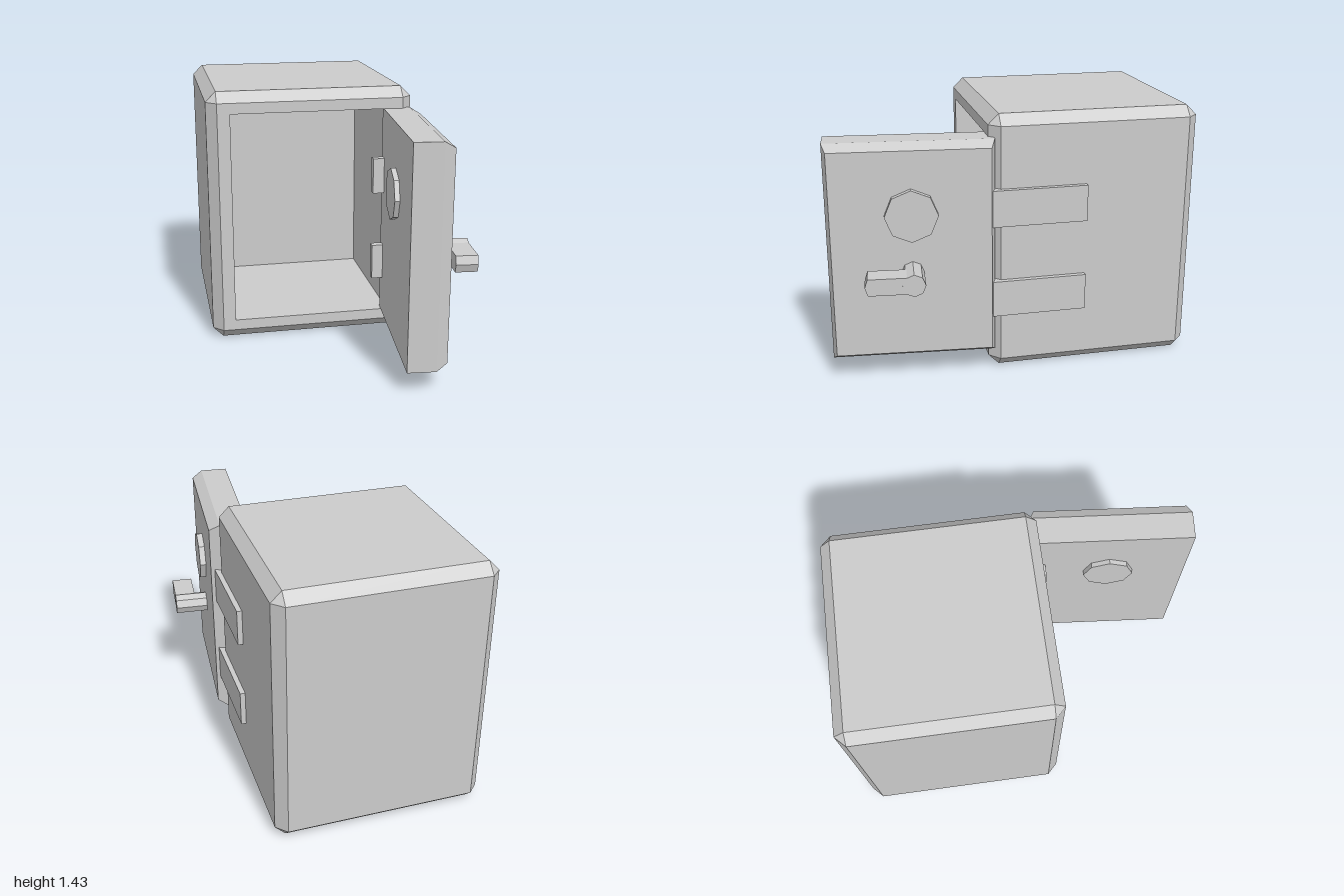
import * as THREE from 'three';
import { ConvexGeometry } from 'three/addons/geometries/ConvexGeometry.js';

const material = new THREE.MeshStandardMaterial({ color: 0xcccccc, flatShading: true });

function part(name, geometry, parent) {
  const mesh = new THREE.Mesh(geometry, material);
  mesh.name = name;
  parent.add(mesh);
  return mesh;
}

// Box given by its lower and upper corners
function box(a, b) {
  return new THREE.BoxGeometry(b[0] - a[0], b[1] - a[1], b[2] - a[2])
    .translate((a[0] + b[0]) / 2, (a[1] + b[1]) / 2, (a[2] + b[2]) / 2);
}

// Drops the triangles lying in the plane z = front; can turn the rest inside out
function openFront(source, front, flip) {
  const geo = source.index ? source.toNonIndexed() : source;
  const p = geo.attributes.position;
  const out = [];
  for (let i = 0; i < p.count; i += 3) {
    const order = flip ? [i, i + 2, i + 1] : [i, i + 1, i + 2];
    if (order.every((k) => Math.abs(p.getZ(k) - front) < 1e-4)) continue;
    for (const k of order) out.push(p.getX(k), p.getY(k), p.getZ(k));
  }
  const result = new THREE.BufferGeometry();
  result.setAttribute('position', new THREE.Float32BufferAttribute(out, 3));
  result.computeVertexNormals();
  return result;
}

// Box with all edges chamfered by c
function chamferedBox(a, b, c) {
  const points = [];
  for (const sx of [0, 1]) for (const sy of [0, 1]) for (const sz of [0, 1]) {
    const s = [sx, sy, sz];
    for (let flush = 0; flush < 3; flush++) {
      points.push(new THREE.Vector3(...s.map((t, i) => {
        const inset = i === flush ? 0 : c;
        return t ? b[i] - inset : a[i] + inset;
      })));
    }
  }
  return new ConvexGeometry(points);
}

function rectangle(Type, x0, y0, x1, y1) {
  return new Type([[x0, y0], [x1, y0], [x1, y1], [x0, y1]].map((q) => new THREE.Vector2(...q)));
}

// Eight-sided cylinder along x
function octagon(radius, x0, x1, y, z) {
  return new THREE.CylinderGeometry(radius, radius, x1 - x0, 8)
    .rotateZ(-Math.PI / 2).translate((x0 + x1) / 2, y, z);
}

export function createModel() {
  const model = new THREE.Group();
  model.name = 'safe';

  // Cabinet: chamfered shell, front frame and hollow interior
  const cabinet = new THREE.Group();
  cabinet.name = 'cabinet';
  model.add(cabinet);
  const front = 0.145, c = 0.057;
  part('shell', openFront(chamferedBox([-0.675, 0, -1], [0.47, 1.43, front], c), front, false), cabinet);
  const frame = rectangle(THREE.Shape, -0.675 + c, c, 0.47 - c, 1.43 - c);
  frame.holes.push(rectangle(THREE.Path, -0.548, 0.117, 0.343, 1.313));
  part('frontFrame', new THREE.ShapeGeometry(frame).translate(0, 0, front), cabinet);
  part('interior', openFront(box([-0.548, 0.117, -0.73], [0.343, 1.313, front]), front, true), cabinet);

  // Hinges: a side leaf and a front leaf each
  for (const y of [0.33, 0.84]) {
    const hinge = new THREE.Group();
    hinge.name = y < 0.5 ? 'lowerHinge' : 'upperHinge';
    model.add(hinge);
    part('sideLeaf', box([0.44, y, -0.38], [0.498, y + 0.2, 0.14]), hinge);
    part('frontLeaf', box([0.24, y, 0.14], [0.498, y + 0.2, 0.185]), hinge);
  }

  // Door, swung open about the hinge edge; local z runs along its width
  const door = new THREE.Group();
  door.name = 'door';
  door.position.set(0.31, 0, 0.104);
  door.rotation.y = -0.093;
  model.add(door);
  const points = [];
  for (const [x, dy, dz] of [[0, 0, 0], [0.152, 0, 0], [0.211, 0.036, 0.022]]) {
    for (const y of [0.12 + dy, 1.312 - dy]) {
      for (const z of [dz, 0.88 - dz]) points.push(new THREE.Vector3(x, y, z));
    }
  }
  part('doorPanel', new ConvexGeometry(points), door);

  // Dial running through the door
  part('dial', octagon(0.14, -0.027, 0.245, 0.937, 0.44), door);

  // Handle: spindle and lever
  part('handleSpindle', octagon(0.06, 0.18, 0.397, 0.62, 0.44), door);
  const lever = new THREE.Shape([[-0.44, 0.575], [-0.44, 0.665], [-0.675, 0.665], [-0.69, 0.62], [-0.675, 0.575]]
    .map((q) => new THREE.Vector2(...q)));
  part('handleLever', new THREE.ExtrudeGeometry(lever, { depth: 0.118, bevelEnabled: false })
    .rotateY(Math.PI / 2).translate(0.278, 0, 0), door);

  return model;
}
